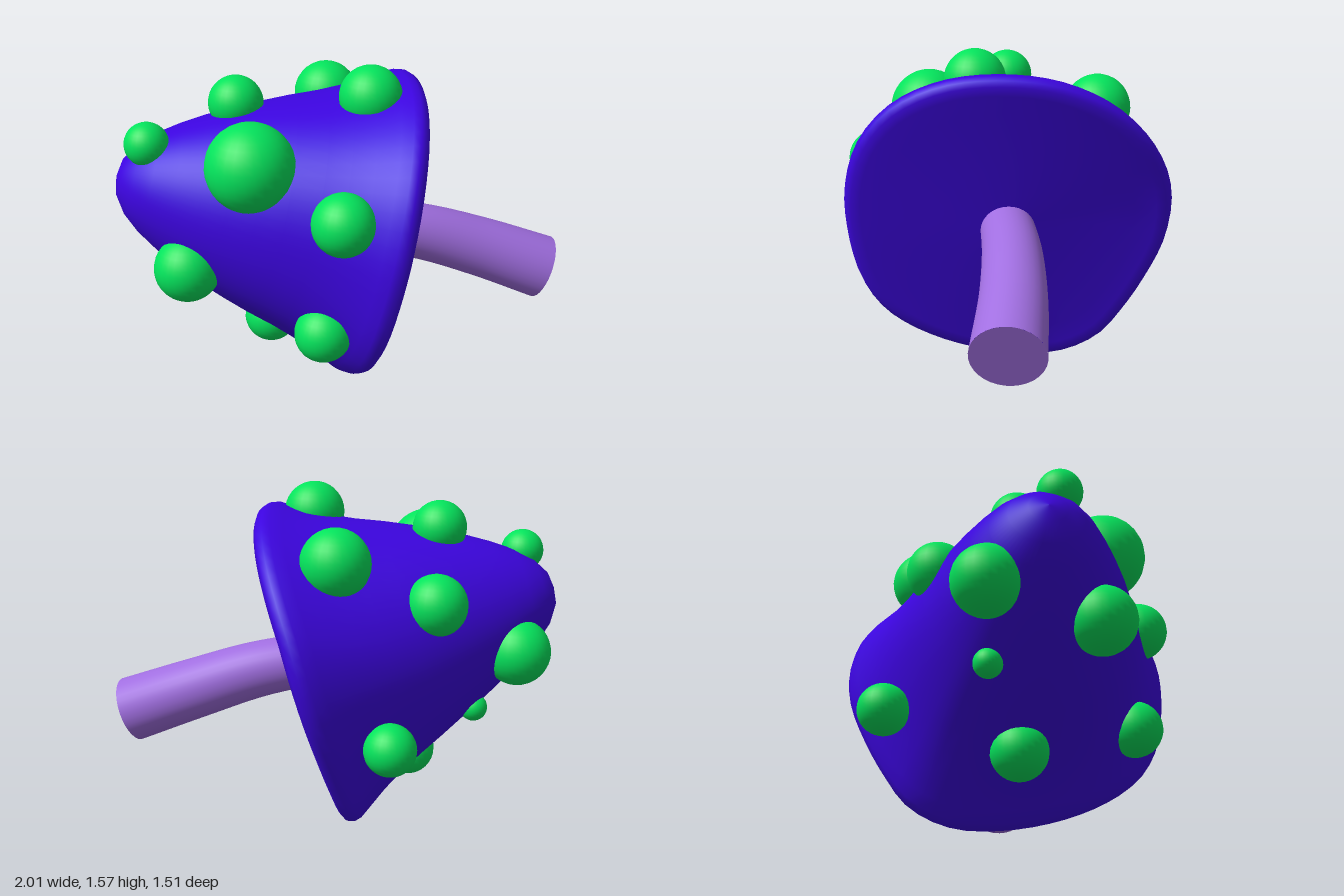
import * as THREE from 'three';

const CENTER = new THREE.Vector3(0.1, 0.74, -0.05); // middle of the cap's underside
const AXIS = new THREE.Vector3(-1, 0.32, 0.49).normalize(); // from underside to tip
const mat = (color) => new THREE.MeshStandardMaterial({ color });

// Slightly uneven rim outline, as [z, y]
const RIM = [[0.65, 0.72], [0.63, 0.93], [0.55, 1.14], [0.4, 1.31], [0.17, 1.425], [-0.1, 1.46],
  [-0.36, 1.42], [-0.57, 1.3], [-0.7, 1.12], [-0.755, 0.9], [-0.72, 0.66], [-0.61, 0.42], [-0.5, 0.24],
  [-0.4, 0.11], [-0.27, 0.025], [-0.13, -0.01], [0.1, 0.02], [0.36, 0.13], [0.54, 0.28], [0.625, 0.46]];

// Cap section from underside centre, round the rim, up to the tip: [radius, height]
const SECTION = [[0.001, -0.01], [0.3, -0.01], [0.6, -0.02], [0.7, -0.03], [0.745, -0.03], [0.77, -0.015],
  [0.78, 0.015], [0.772, 0.05], [0.74, 0.1], [0.682, 0.19], [0.63, 0.29], [0.582, 0.39], [0.528, 0.52],
  [0.473, 0.64], [0.415, 0.76], [0.356, 0.87], [0.297, 0.97], [0.23, 1.07], [0.162, 1.145], [0.083, 1.195], [0.001, 1.21]];

function capGeometry(segments = 64) {
  const outline = new THREE.CatmullRomCurve3(RIM.map(([z, y]) => {
    const dy = y - CENTER.y, dz = z - CENTER.z;
    return new THREE.Vector3(0.32 * dy + 0.49 * dz, dy, dz);
  }), true);
  const rim = outline.getSpacedPoints(segments).slice(0, segments);
  const bend = new THREE.Vector3(0.44, 0, 0.9);
  const positions = [], index = [];
  SECTION.forEach(([radius, height], j) => {
    // The outline becomes rounder, and leans forward, towards the tip
    const t = THREE.MathUtils.clamp(height / 0.9, 0, 1);
    const lean = 0.035 * Math.sin(t * Math.PI / 2) ** 2;
    rim.forEach((r, i) => {
      const length = THREE.MathUtils.lerp(r.length(), 0.78, t) * radius / 0.78;
      const p = r.clone().setLength(length);
      // The underside bows gently, its front edge curling towards the tip
      p.x += (1 - t) * (0.03 - 0.45 * Math.max(p.x, -0.25) ** 2);
      p.add(CENTER).addScaledVector(AXIS, height).addScaledVector(bend, lean);
      positions.push(p.x, p.y, p.z);
      if (j === SECTION.length - 1) return;
      const k = (i + 1) % segments, a = j * segments, b = a + segments;
      index.push(a + i, a + k, b + k, a + i, b + k, b + i);
    });
  });
  const geometry = new THREE.BufferGeometry();
  geometry.setAttribute('position', new THREE.Float32BufferAttribute(positions, 3));
  geometry.setIndex(index);
  geometry.computeVertexNormals();
  return geometry;
}

// Curved stem that widens towards its foot
function createStem() {
  const group = new THREE.Group();
  group.name = 'stem';
  const path = new THREE.CatmullRomCurve3([
    new THREE.Vector3(0.03, 0.735, 0), new THREE.Vector3(0.33, 0.67, -0.158),
    new THREE.Vector3(0.62, 0.565, -0.283), new THREE.Vector3(0.928, 0.443, -0.387)]);
  const rows = 24, sides = 32, foot = 0.16;
  const geometry = new THREE.TubeGeometry(path, rows, 1, sides);
  const pos = geometry.attributes.position, v = new THREE.Vector3();
  for (let i = 0; i < pos.count; i++) {
    const u = Math.floor(i / (sides + 1)) / rows;
    const c = path.getPointAt(u);
    v.fromBufferAttribute(pos, i).sub(c).multiplyScalar(THREE.MathUtils.lerp(0.125, foot, u)).add(c);
    pos.setXYZ(i, v.x, v.y, v.z);
  }
  const material = mat(0xa06ee0);
  const shaft = new THREE.Mesh(geometry, material);
  shaft.name = 'stemShaft';
  const end = new THREE.Mesh(new THREE.CircleGeometry(foot, sides), material);
  end.name = 'stemFoot';
  end.position.copy(path.getPointAt(1));
  end.quaternion.setFromUnitVectors(new THREE.Vector3(0, 0, 1), path.getTangentAt(1));
  group.add(shaft, end);
  return group;
}

// Round spots half sunk into the cap: [x, y, z, radius]
const SPOTS = [
  [-0.26, 1.205, 0.545, 0.197], [0.17, 1.02, 0.61, 0.138], [-0.555, 0.715, 0.605, 0.15],
  [0.07, 0.47, 0.585, 0.13], [-0.33, 0.27, 0.16, 0.13], [-0.2, 1.272, -0.375, 0.157],
  [-0.578, 1.08, -0.14, 0.14], [-0.49, 0.485, -0.42, 0.118], [-0.85, 0.82, 0.2, 0.155],
  [-0.455, 1.37, 0.195, 0.126], [-0.765, 1.242, 0.492, 0.1], [0.152, 1.42, 0.1, 0.143],
  [-0.67, 0.54, 0.14, 0.065]];

export function createModel() {
  const model = new THREE.Group();
  model.name = 'mushroom';
  const cap = new THREE.Mesh(capGeometry(), mat(0x3c04e0));
  cap.name = 'cap';
  const spots = new THREE.Group();
  spots.name = 'spots';
  const green = mat(0x04e45c);
  SPOTS.forEach(([x, y, z, r]) => {
    const spot = new THREE.Mesh(new THREE.SphereGeometry(r, 28, 18), green);
    spot.name = 'spot';
    spot.position.set(x, y, z);
    spots.add(spot);
  });
  model.add(cap, createStem(), spots);
  return model;
}
